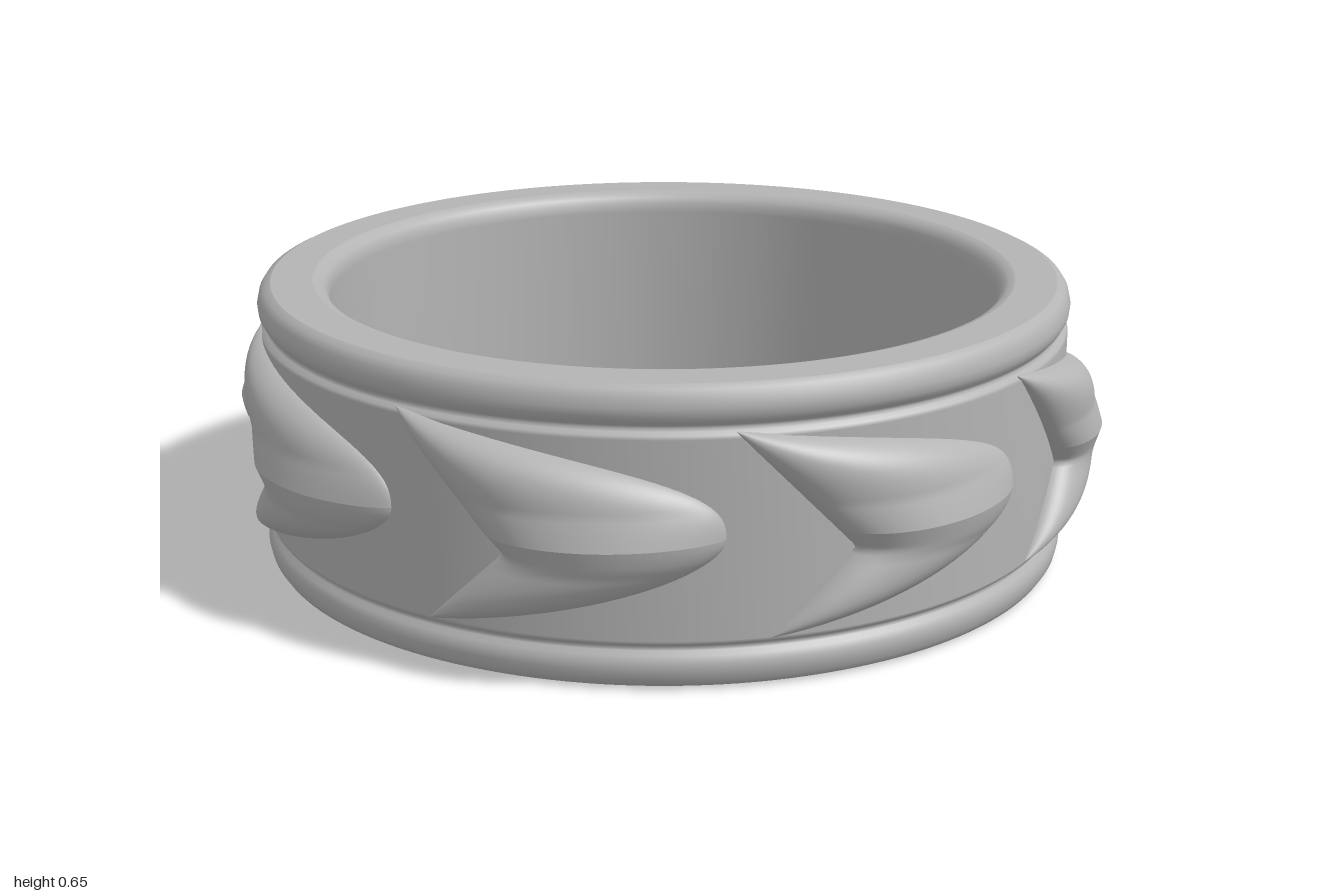
import * as THREE from 'three';

const BAND_R = 0.933, MID_Y = 0.33, HALF_H = 0.225;
const rad = THREE.MathUtils.degToRad;

// Angles (degrees, relative to the tip) of the chevron's trailing and leading edges at height v in [-1, 1]
const backEdge = (v) => (v > -0.2 ? -28 - 16 * (v + 0.2) / 1.2 : -28 - 11.5 * (-0.2 - v) / 0.8);
const frontEdge = (v) => (v > 0 ? -44 * v ** 2.6 : -39.5 * (-v) ** 1.9);

// Height of the relief above the band: rounded arms with a sharp ridge at v = 0
function relief(v, t) {
  const w = Math.abs(v);
  const peak = 0.075 * (1 - w ** 4) + 0.018 * Math.max(0, 1 - 3.5 * w);
  return peak * Math.max(0, Math.sin(Math.PI * t ** 0.75)) ** 0.6;
}

// One half of a chevron, a grid from height v0 to v1
function chevronHalf(v0, v1, rows = 24, cols = 32) {
  const pos = [], index = [];
  for (let i = 0; i <= rows; i++) {
    const v = v0 + (v1 - v0) * i / rows;
    for (let j = 0; j <= cols; j++) {
      const t = (1 - Math.cos(Math.PI * j / cols)) / 2;
      const a = rad(THREE.MathUtils.lerp(backEdge(v), frontEdge(v), t));
      const r = BAND_R - 0.004 + relief(v, t);
      pos.push(r * Math.sin(a), MID_Y + HALF_H * v, r * Math.cos(a));
      if (i < rows && j < cols) {
        const k = i * (cols + 1) + j, n = k + cols + 1;
        index.push(k, k + 1, n + 1, k, n + 1, n);
      }
    }
  }
  const geo = new THREE.BufferGeometry();
  geo.setAttribute('position', new THREE.Float32BufferAttribute(pos, 3));
  geo.setIndex(index);
  geo.computeVertexNormals();
  return geo;
}

export function createModel() {
  const model = new THREE.Group();
  model.name = 'ring';
  const metal = new THREE.MeshStandardMaterial({ color: 0xb4b4b4 });
  metal.name = 'greyMetal';

  const lathe = (name, points) => {
    const geo = new THREE.LatheGeometry(points.map(([r, y]) => new THREE.Vector2(r, y)), 160);
    const mesh = new THREE.Mesh(geo, metal);
    mesh.name = name;
    model.add(mesh);
  };

  // Band with a rounded rim and a shallow groove at each end
  const lowerRim = [[0.905, 0], [0.921, 0.008], [0.931, 0.023], [0.936, 0.045], [0.934, 0.062],
    [0.927, 0.075], [0.918, 0.084], [0.916, 0.09], [0.92, 0.096], [0.93, 0.102], [BAND_R, 0.11]];
  const upperRim = lowerRim.map(([r, y]) => [r, 0.65 - y]).reverse();
  lathe('outerBand', [...lowerRim, ...upperRim]);
  lathe('topEdge', [[0.905, 0.65], [0.81, 0.65]]);
  lathe('bottomEdge', [[0.81, 0], [0.905, 0]]);

  // Inner wall with rounded mouths
  const mouth = [[0.81, 0.65], [0.796, 0.646], [0.783, 0.636], [0.775, 0.622], [0.772, 0.6]];
  lathe('innerWall', [...mouth, ...mouth.map(([r, y]) => [r, 0.65 - y]).reverse()]);

  // Eight raised chevrons around the band
  const upper = chevronHalf(0, 0.999), lower = chevronHalf(-0.999, 0);
  for (let i = 0; i < 8; i++) {
    const chevron = new THREE.Group();
    chevron.name = 'chevron' + (i + 1);
    [['upperArm', upper], ['lowerArm', lower]].forEach(([name, geo]) => {
      const arm = new THREE.Mesh(geo, metal);
      arm.name = name;
      chevron.add(arm);
    });
    chevron.rotation.y = i * Math.PI / 4;
    model.add(chevron);
  }
  return model;
}
